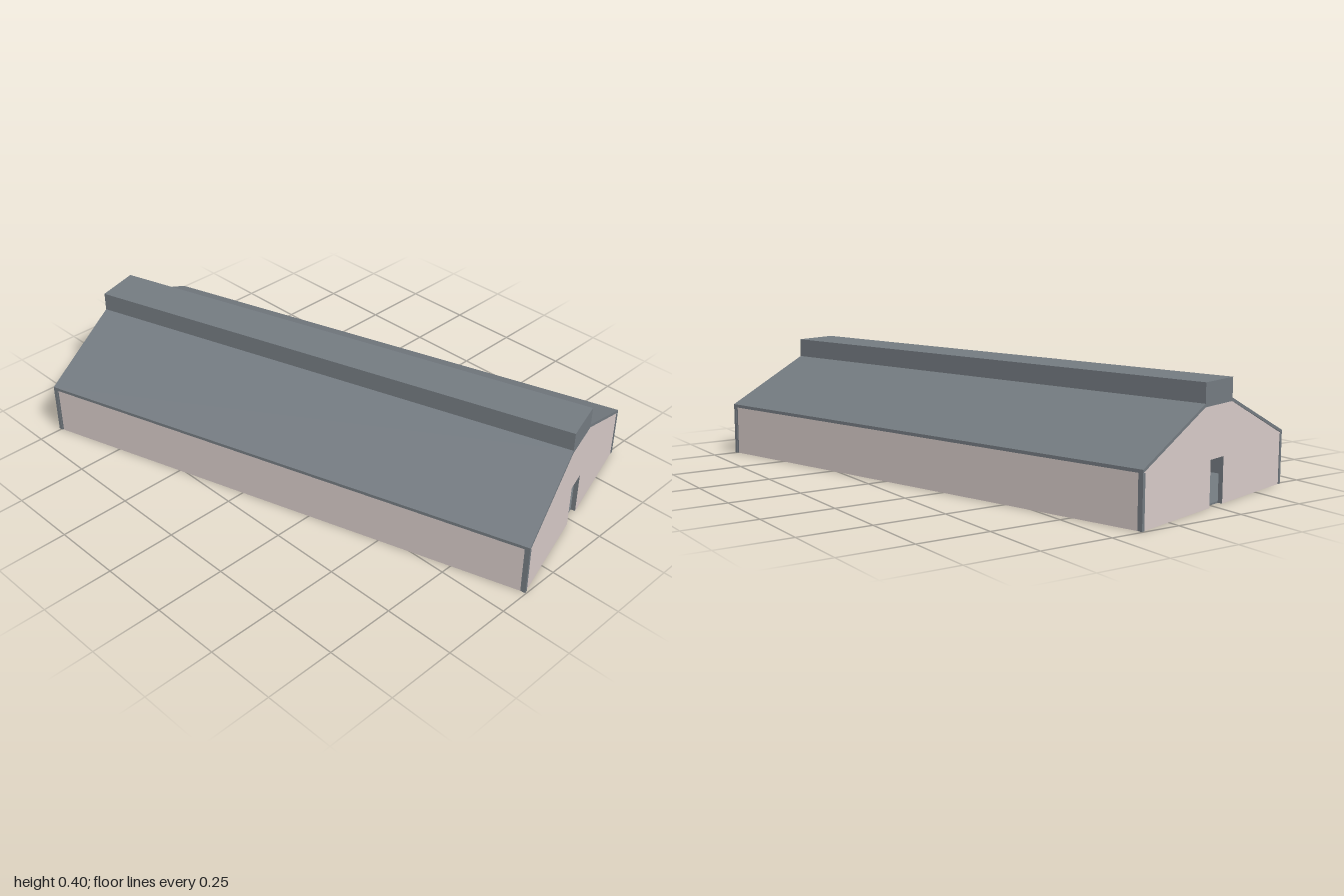
import * as THREE from 'three';

const LEN = 1.832, HALF_W = 0.418;   // footprint: length and half width
const WALL = 0.016, INSET = 0.002;   // wall thickness, set back behind the trim
const EAVE = 0.184, BREAK = 0.334, TOP = 0.4, RIDGE = 0.081, ROOF = 0.011;

export function createModel() {
  const wallMat = new THREE.MeshStandardMaterial({ name: 'pale cladding', color: 0xd6c9c7 });
  const metal = new THREE.MeshStandardMaterial({ name: 'grey metal', color: 0x747b81 });
  const model = new THREE.Group();
  model.name = 'shed';
  const building = new THREE.Group();
  building.name = 'building';
  building.rotation.y = Math.atan2(0.525, 1.755);
  model.add(building);

  const add = (name, geo, mat, x = 0, y = 0, z = 0) => {
    const m = new THREE.Mesh(geo, mat);
    m.name = name;
    m.position.set(x, y, z);
    building.add(m);
    return m;
  };
  const box = (name, w, h, d, mat, x, y, z) =>
    add(name, new THREE.BoxGeometry(w, h, d), mat, x, y, z);
  const outline = pts => new THREE.Shape(pts.map(p => new THREE.Vector2(...p)));
  // Extrude a cross-section along the length, centred on x = 0
  const along = (shape, depth) =>
    new THREE.ExtrudeGeometry(shape, { depth, bevelEnabled: false })
      .translate(0, 0, -depth / 2).rotateY(Math.PI / 2);

  // Gable section with an open doorway
  const gw = HALF_W - INSET, door = 0.039, doorH = 0.153;
  const gable = outline([
    [-gw, 0], [-door, 0], [-door, doorH], [door, doorH], [door, 0], [gw, 0],
    [gw, EAVE - ROOF], [RIDGE, BREAK - ROOF], [-RIDGE, BREAK - ROOF], [-gw, EAVE - ROOF],
  ]);

  for (const s of [-1, 1]) {
    // End wall, with metal jambs and a metal inner lining
    const endX = s * (LEN / 2 - INSET - WALL / 2);
    add('gableWall', along(gable, WALL), [wallMat, metal], endX);
    const lining = new THREE.ShapeGeometry(gable).rotateY(-s * Math.PI / 2);
    add('gableLining', lining, metal, endX - s * (WALL / 2 + 0.001));

    // Long wall: pale outside only
    const mats = Array(6).fill(metal);
    mats[s > 0 ? 4 : 5] = wallMat;
    box('sideWall', LEN - 2 * (INSET + WALL), EAVE - ROOF, WALL, mats,
      0, (EAVE - ROOF) / 2, s * (HALF_W - INSET - WALL / 2));

    // Corner trim
    for (const t of [-1, 1]) {
      box('cornerTrim', 0.012, EAVE - ROOF, 0.012, metal,
        s * (LEN / 2 - 0.006), (EAVE - ROOF) / 2, t * (HALF_W - 0.006));
    }

    // Roof slope
    add('roofSlope', along(outline([
      [s * HALF_W, EAVE], [s * RIDGE, BREAK],
      [s * RIDGE, BREAK - ROOF], [s * HALF_W, EAVE - ROOF],
    ]), LEN), metal);
  }

  // Raised ridge vent running the full length
  box('ridgeVent', LEN, TOP - BREAK + ROOF, 2 * RIDGE, metal, 0, (TOP + BREAK - ROOF) / 2, 0);

  // Floor slab and two rows of inner posts
  box('floor', LEN - 2 * (INSET + WALL), 0.006, 2 * (HALF_W - INSET - WALL), metal, 0, 0.003, 0);
  for (const x of [-0.44, 0, 0.44]) {
    for (const z of [-0.095, 0.095]) box('innerPost', 0.01, 0.314, 0.01, metal, x, 0.163, z);
  }
  return model;
}
